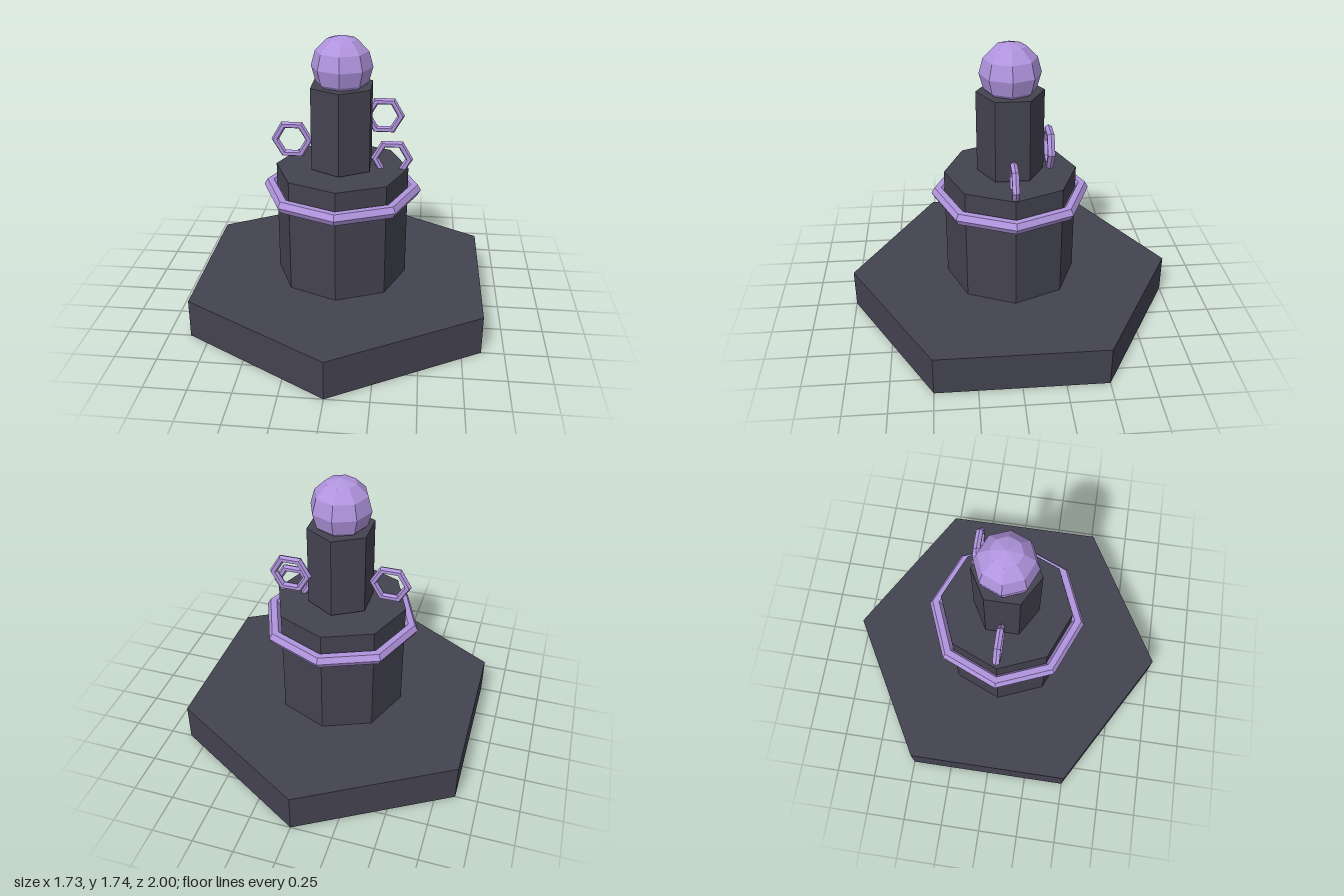
import * as THREE from 'three';

export function createModel() {
  const model = new THREE.Group();
  model.name = 'pedestal';

  const stone = new THREE.MeshStandardMaterial({ color: 0x434250 });
  stone.name = 'dark stone';
  const crystal = new THREE.MeshStandardMaterial({ color: 0xb094de });
  crystal.name = 'violet crystal';

  // Every part is faceted, so its faces are separated and given flat normals
  function add(name, geometry, material, x, y, z) {
    const flat = geometry.toNonIndexed();
    flat.computeVertexNormals();
    const mesh = new THREE.Mesh(flat, material);
    mesh.name = name;
    mesh.position.set(x, y, z);
    model.add(mesh);
    return mesh;
  }

  // Upright prism between two heights
  function prism(name, radius, sides, bottom, top) {
    const geometry = new THREE.CylinderGeometry(radius, radius, top - bottom, sides);
    add(name, geometry, stone, 0, (bottom + top) / 2, 0);
  }

  prism('base', 1, 6, 0, 0.24);
  prism('drum', 0.4, 8, 0.24, 0.94);
  prism('column', 0.2, 6, 0.95, 1.45);

  // Orb resting in the top of the column
  add('orb', new THREE.SphereGeometry(0.18, 8, 6), crystal, 0, 1.56, 0);

  // Level band around the drum
  const band = new THREE.TorusGeometry(0.44, 0.04, 6, 8).rotateX(Math.PI / 2);
  add('band', band, crystal, 0, 0.8, 0);

  // Hexagonal rings floating around the column
  const rings = [
    ['leftRing', 0.3, 1.0, 0],
    ['backRing', 0.24, 1.2, -0.2],
    ['rightRing', -0.3, 1.1, 0],
  ];
  for (const [name, x, y, z] of rings) {
    add(name, new THREE.TorusGeometry(0.103, 0.023, 6, 6), crystal, x, y, z);
  }

  return model;
}
